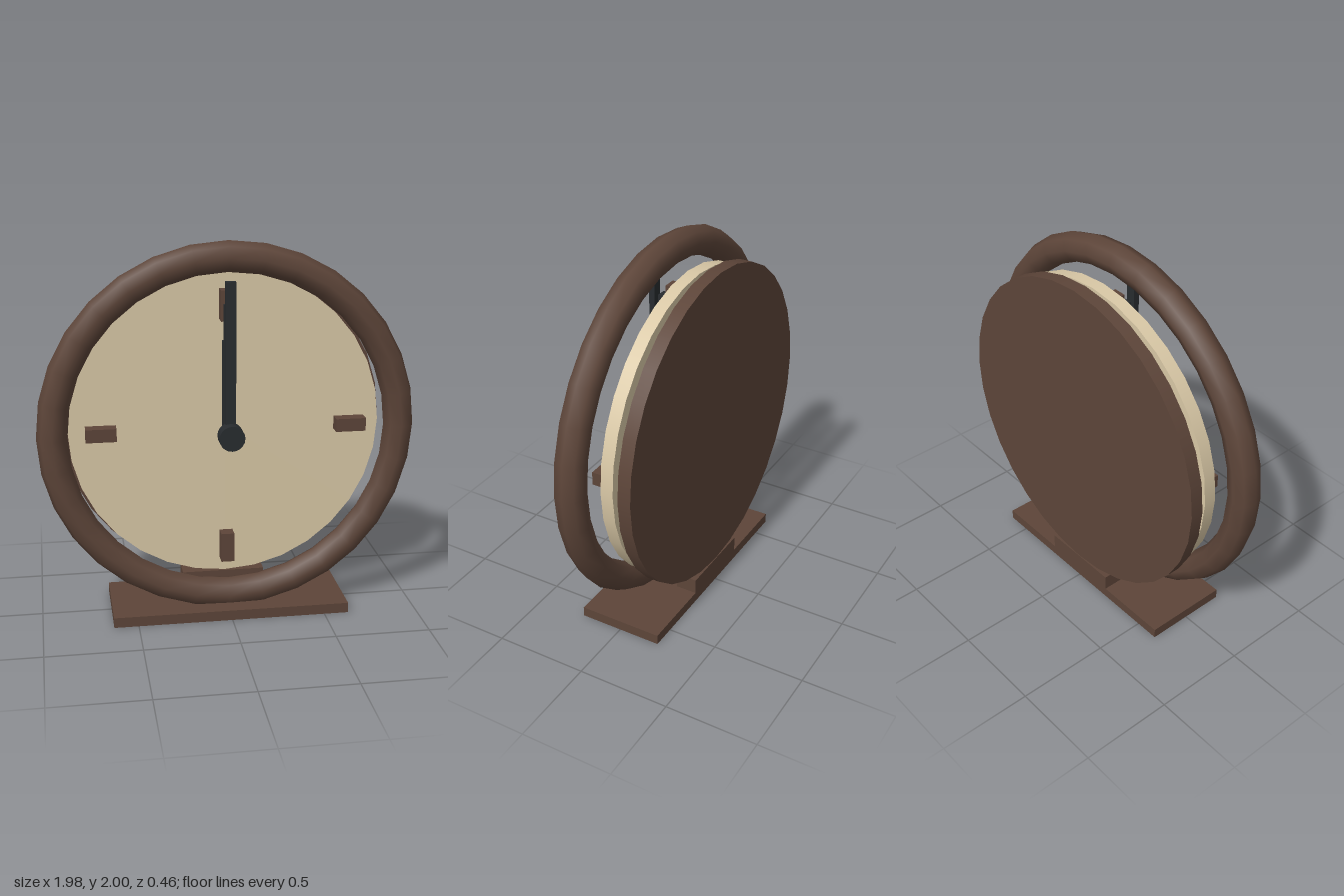
import * as THREE from 'three';

export function createModel() {
  const clock = new THREE.Group();
  clock.name = 'tableClock';

  const mat = (name, color) => {
    const m = new THREE.MeshStandardMaterial({ color });
    m.name = name;
    return m;
  };
  const wood = mat('brownWood', 0x5d4539);
  const cream = mat('creamDial', 0xd9c8a6);
  const dark = mat('darkMetal', 0x282c2f);
  const CY = 1.005; // height of the clock's centre

  const add = (name, geometry, material, x, y, z) => {
    const mesh = new THREE.Mesh(geometry, material);
    mesh.name = name;
    mesh.position.set(x, y, z);
    clock.add(mesh);
    return mesh;
  };
  // Box given by its centre in x and its ranges in y and z
  const box = (name, material, x, w, y0, y1, z0, z1) =>
    add(name, new THREE.BoxGeometry(w, y1 - y0, z1 - z0), material, x, (y0 + y1) / 2, (z0 + z1) / 2);
  // Disc facing the front
  const disc = (name, material, r, z0, z1, sides) =>
    add(name, new THREE.CylinderGeometry(r, r, z1 - z0, sides).rotateX(Math.PI / 2), material, 0, CY, (z0 + z1) / 2);

  // Stand
  box('base', wood, 0, 1.26, 0, 0.055, -0.23, 0.23);
  box('supportBlock', wood, 0, 0.45, 0.055, 0.14, -0.23, -0.112);

  // Case layers, back to front
  disc('backPlate', wood, 0.86, -0.23, -0.16, 32);
  disc('dial', cream, 0.83, -0.114, -0.046, 32);
  add('frontRing', new THREE.TorusGeometry(0.912, 0.08, 8, 32), wood, 0, 1.008, 0.068);

  // Hour markers at the four quarters
  for (let i = 0; i < 4; i++) {
    const a = (i * Math.PI) / 2;
    const marker = add('hourMarker', new THREE.BoxGeometry(0.07, 0.16, 0.07), wood,
      Math.sin(a) * 0.66, CY + Math.cos(a) * 0.66, 0.025);
    marker.rotation.z = -a;
  }

  // Stacked hands, all pointing up, and the hub in front
  const hands = [['shortHand', 1.48, 0.02], ['middleHand', 1.68, 0.077], ['longHand', 1.805, 0.13]];
  for (const [name, top, z] of hands) box(name, dark, 0, 0.053, 0.99, top, z, z + 0.032);
  disc('hub', dark, 0.067, 0.135, 0.212, 20);

  return clock;
}
